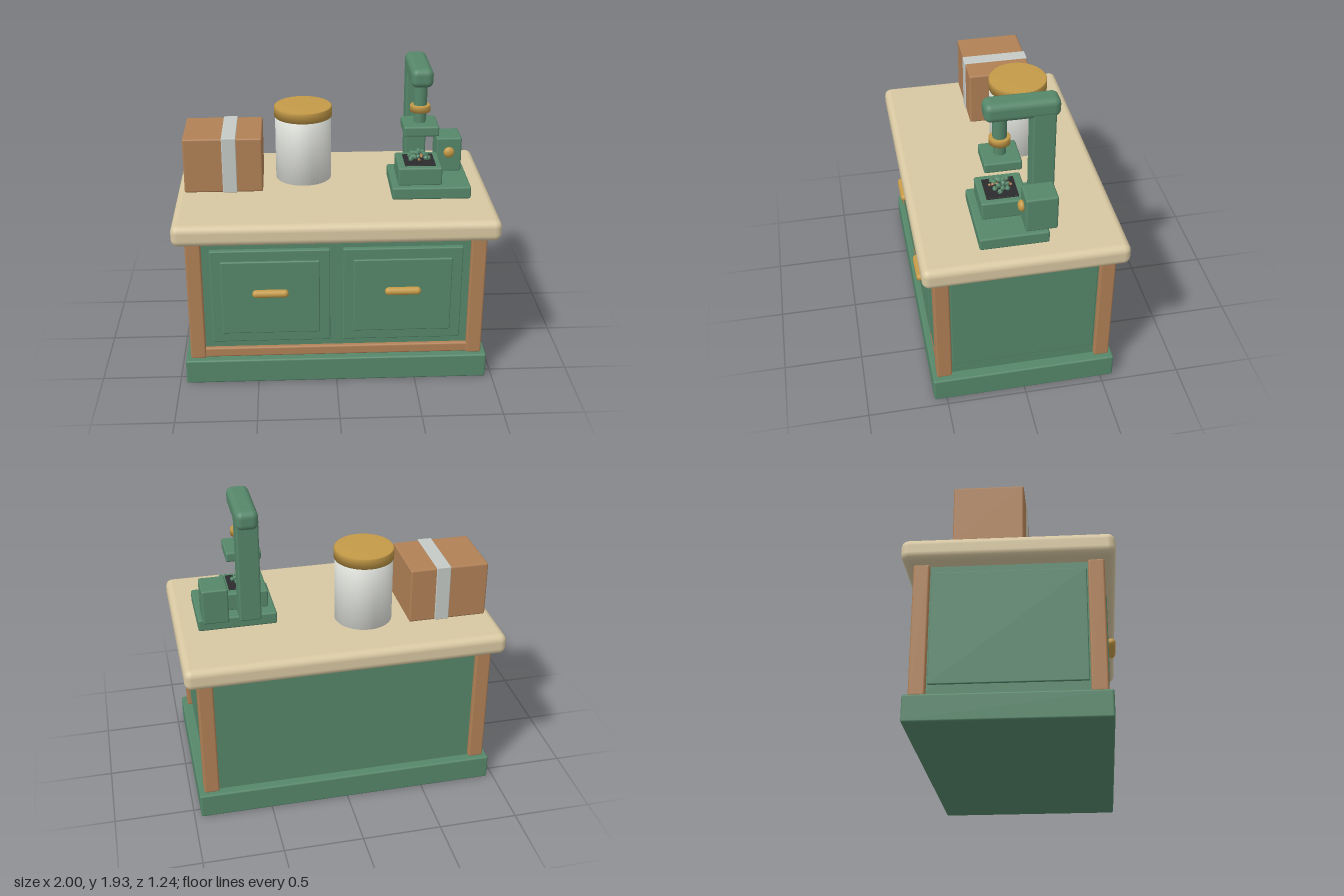
import * as THREE from 'three';
import { RoundedBoxGeometry } from 'three/addons/geometries/RoundedBoxGeometry.js';

const mat = (name, color) => new THREE.MeshStandardMaterial({ name, color });

export function createModel() {
  const green = mat('painted green', 0x56876a);
  const wood = mat('warm wood', 0xb08056);
  const cream = mat('cream worktop', 0xd8c8a2);
  const gold = mat('brass', 0xc49a48);
  const white = mat('ceramic white', 0xdfe1db);
  const tape = mat('grey tape', 0xc4cac6);
  const dark = mat('dark soil', 0x2b2a2c);
  const root = new THREE.Group();
  root.name = 'workCounter';

  const group = (name) => {
    const g = new THREE.Group();
    g.name = name;
    root.add(g);
    return g;
  };
  const add = (parent, name, geo, material, x = 0, y = 0, z = 0) => {
    const m = new THREE.Mesh(geo, material);
    m.name = name;
    m.position.set(x, y, z);
    parent.add(m);
    return m;
  };
  // Soft-edged block given by its limits on each axis
  const block = (parent, name, material, [x0, x1], [y0, y1], [z0, z1], r = 0.012) =>
    add(parent, name, new RoundedBoxGeometry(x1 - x0, y1 - y0, z1 - z0, 3, r), material,
      (x0 + x1) / 2, (y0 + y1) / 2, (z0 + z1) / 2);
  // Closed drum with softly blended normals
  const drum = (parent, name, material, r, h, x, y, z, bevel = 0) => {
    const p = [[0, 0], [r, 0], [r, h - bevel], [r - bevel, h], [0, h]];
    if (!bevel) p.splice(3, 1);
    return add(parent, name, new THREE.LatheGeometry(p.map(([a, b]) => new THREE.Vector2(a, b)), 40),
      material, x, y, z);
  };

  // Cabinet
  const cabinet = group('cabinet');
  block(cabinet, 'plinth', green, [-0.958, 0.958], [0, 0.163], [-0.58, 0.58]);
  block(cabinet, 'body', green, [-0.89, 0.89], [0.15, 0.99], [-0.52, 0.52], 0.005);
  block(cabinet, 'worktop', cream, [-1, 1], [0.98, 1.115], [-0.62, 0.62], 0.045);
  block(cabinet, 'bottomRail', wood, [-0.88, 0.88], [0.17, 0.235], [0.48, 0.545]);
  for (const s of [-1, 1]) {
    for (const t of [-1, 1]) {
      const post = block(cabinet, 'cornerPost', wood, [-0.048, 0.048], [0.165, 0.98], [-0.048, 0.048]);
      post.position.x = s * 0.877;
      post.position.z = t * 0.505;
    }
    const side = block(cabinet, 'sidePanel', green, [-0.015, 0.015], [0.24, 0.94], [-0.45, 0.45], 0.006);
    side.position.x = s * 0.885;

    // Raised door with brass pull
    const cx = s * 0.41;
    block(cabinet, 'door', green, [cx - 0.37, cx + 0.37], [0.285, 0.92], [0.51, 0.55], 0.008);
    block(cabinet, 'doorPanel', green, [cx - 0.305, cx + 0.305], [0.35, 0.85], [0.53, 0.562], 0.008);
    const pull = add(cabinet, 'doorPull', new THREE.CapsuleGeometry(0.025, 0.175, 8, 16), gold, cx, 0.642, 0.583);
    pull.rotation.z = Math.PI / 2;
  }

  // Parcel
  const parcel = group('parcel');
  block(parcel, 'parcelBox', wood, [-0.95, -0.45], [1.115, 1.477], [-0.325, 0.092]);
  block(parcel, 'parcelTape', tape, [-0.706, -0.614], [1.114, 1.482], [-0.33, 0.097], 0.006);

  // Canister
  const canister = group('canister');
  drum(canister, 'jar', white, 0.182, 0.43, -0.185, 1.115, -0.175);
  drum(canister, 'jarLid', gold, 0.187, 0.067, -0.185, 1.538, -0.175, 0.006);

  // Press
  const press = group('press');
  block(press, 'pressBase', green, [0.363, 0.86], [1.115, 1.195], [-0.155, 0.263]);
  block(press, 'pressBed', green, [0.403, 0.68], [1.19, 1.31], [-0.065, 0.218]);
  block(press, 'bedTray', dark, [0.448, 0.642], [1.3, 1.317], [-0.015, 0.18], 0.004);
  block(press, 'pressColumn', green, [0.473, 0.608], [1.2, 1.86], [-0.235, -0.097]);
  block(press, 'pressArm', green, [0.472, 0.61], [1.815, 1.935], [-0.263, 0.182], 0.04);
  add(press, 'upperSpindle', new THREE.CylinderGeometry(0.042, 0.042, 0.17, 24), green, 0.541, 1.755, 0.085);
  add(press, 'lowerSpindle', new THREE.CylinderGeometry(0.038, 0.038, 0.12, 24), green, 0.541, 1.62, 0.085);
  drum(press, 'spindleCollar', gold, 0.064, 0.042, 0.541, 1.646, 0.085, 0.006);
  block(press, 'pressFoot', green, [0.433, 0.652], [1.51, 1.575], [-0.028, 0.195]);
  block(press, 'controlBox', green, [0.67, 0.833], [1.19, 1.42], [-0.208, -0.015]);
  const knob = add(press, 'controlKnob', new THREE.SphereGeometry(0.035, 20, 14), gold, 0.75, 1.327, -0.005);
  knob.scale.z = 0.65;

  // Little heap of leaves and buds spread in a spiral on the tray
  const heap = group('herbHeap');
  const leaf = new THREE.IcosahedronGeometry(0.017, 0);
  const bud = new THREE.IcosahedronGeometry(0.01, 0);
  for (let i = 0; i < 24; i++) {
    const a = i * 2.4;
    const d = 0.068 * Math.sqrt(i / 24);
    const isBud = i % 4 === 3;
    const y = 1.328 + 0.042 * (1 - d / 0.07) + (i % 3) * 0.006;
    const m = add(heap, isBud ? 'bud' : 'leaf', isBud ? bud : leaf, isBud ? wood : green,
      0.541 + d * Math.cos(a), y, 0.085 + d * Math.sin(a));
    m.rotation.set(a, a * 1.7, 0);
  }
  return root;
}
